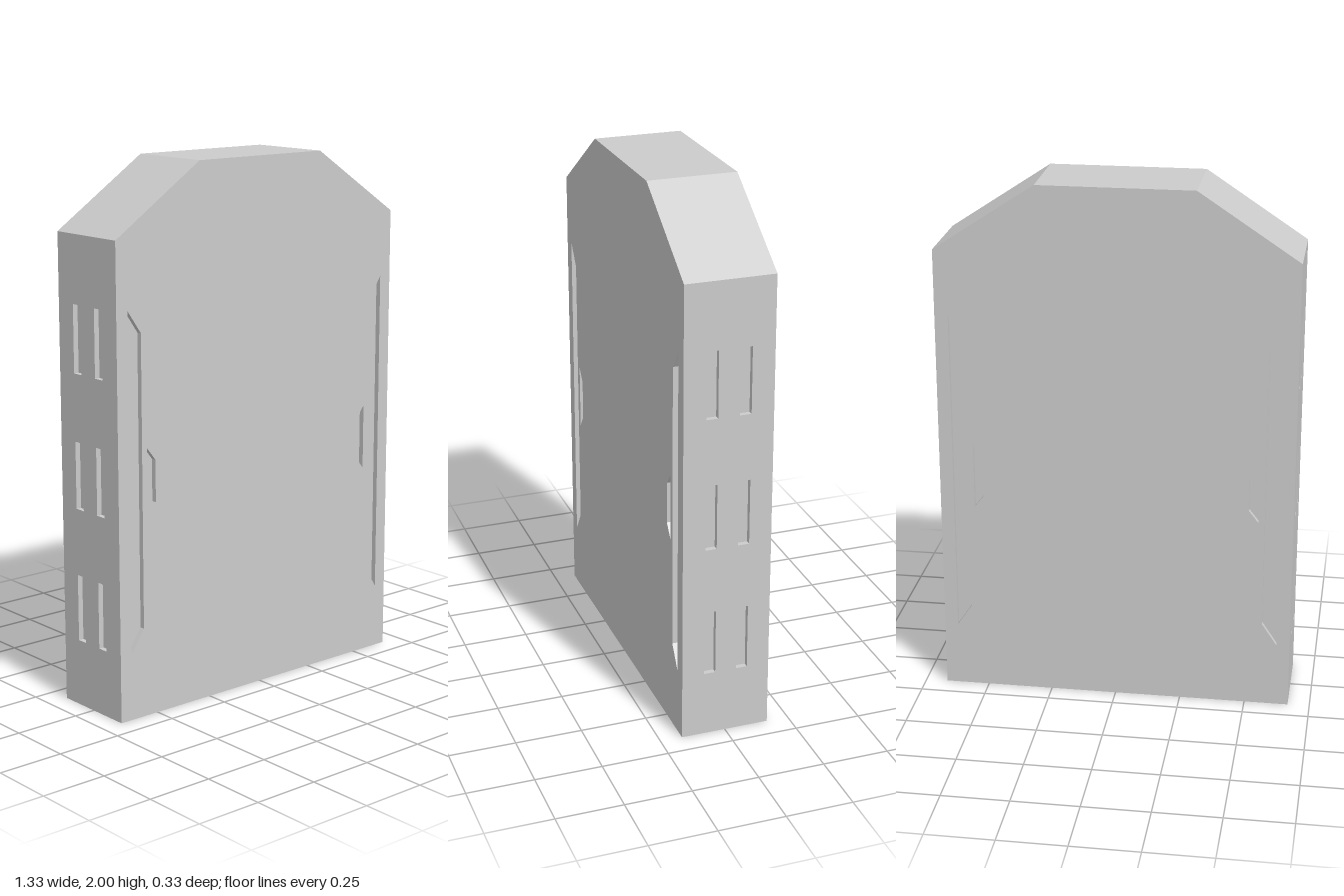
import * as THREE from 'three';
import { mergeGeometries } from 'three/addons/utils/BufferGeometryUtils.js';

const W = 0.667, D = 0.167;            // half width, half depth
const SHOULDER = 1.75, TOP = 2, TOP_W = 0.29;
const RECESS = 0.02;

const points = (list) => list.map(([x, y]) => new THREE.Vector2(x, y));

// Strip of flat quads along a path; faces outward for a counter-clockwise path
function ribbon(path, zFront, zBack) {
  const pos = [];
  for (let i = 0; i < path.length - 1; i++) {
    const a = path[i], b = path[i + 1];
    pos.push(a.x, a.y, zFront, a.x, a.y, zBack, b.x, b.y, zBack);
    pos.push(a.x, a.y, zFront, b.x, b.y, zBack, b.x, b.y, zFront);
  }
  const g = new THREE.BufferGeometry();
  g.setAttribute('position', new THREE.Float32BufferAttribute(pos, 3));
  g.computeVertexNormals();
  return g;
}

function flatFace(outline, holes = []) {
  const shape = new THREE.Shape(outline);
  shape.holes = holes.map((h) => new THREE.Path(h));
  const g = new THREE.ShapeGeometry(shape).toNonIndexed();
  g.deleteAttribute('uv');
  return g;
}

// Flat panel facing +z with shallow pockets sunk into it
function recessedPanel(outline, pockets) {
  const parts = [flatFace(outline, pockets)];
  for (const pocket of pockets) {
    const clockwise = THREE.ShapeUtils.isClockWise(pocket) ? pocket : [...pocket].reverse();
    parts.push(flatFace(pocket).translate(0, 0, -RECESS));
    parts.push(ribbon([...clockwise, clockwise[0]], 0, -RECESS));
  }
  return mergeGeometries(parts);
}

// Trapezoid pocket: long edge at xOuter, short edge at xInner
const trapezoid = (side, xOuter, y0, y1, xInner, yi0, yi1) =>
  points([[side * xOuter, y0], [side * xOuter, y1], [side * xInner, yi1], [side * xInner, yi0]]);

export function createModel() {
  const group = new THREE.Group();
  const material = new THREE.MeshStandardMaterial({ color: 0xcccccc });
  const add = (name, geometry) => {
    const mesh = new THREE.Mesh(geometry, material);
    mesh.name = name;
    group.add(mesh);
    return mesh;
  };

  // Front and back panels with long grooves and small grips
  const outline = points([[-W, 0], [W, 0], [W, SHOULDER], [TOP_W, TOP], [-TOP_W, TOP], [-W, SHOULDER]]);
  const grooves = [-1, 1].flatMap((s) => [
    trapezoid(s, 0.617, 0.25, 1.5, 0.56, 0.335, 1.417),
    trapezoid(s, 0.537, 0.75, 1.0, 0.5, 0.797, 0.953),
  ]);
  const broad = recessedPanel(outline, grooves);
  add('frontPanel', broad).position.z = D;
  const back = add('backPanel', broad);
  back.position.z = -D;
  back.rotation.y = Math.PI;

  // Side panels with two columns of three slots
  const slots = [];
  for (const y of [0.25, 0.75, 1.25]) {
    for (const s of [-1, 1]) {
      slots.push(trapezoid(s, 0.083, y, y + 0.25, 0.04, y, y + 0.25));
    }
  }
  const narrow = recessedPanel(points([[-D, 0], [D, 0], [D, SHOULDER], [-D, SHOULDER]]), slots);
  for (const s of [-1, 1]) {
    const side = add(s > 0 ? 'leftPanel' : 'rightPanel', narrow);
    side.position.x = s * W;
    side.rotation.y = s * Math.PI / 2;
  }

  // Sloped shoulders with flat top, and the base
  add('topCover', ribbon(outline.slice(2), D, -D));
  add('base', ribbon(outline.slice(0, 2), D, -D));

  return group;
}
